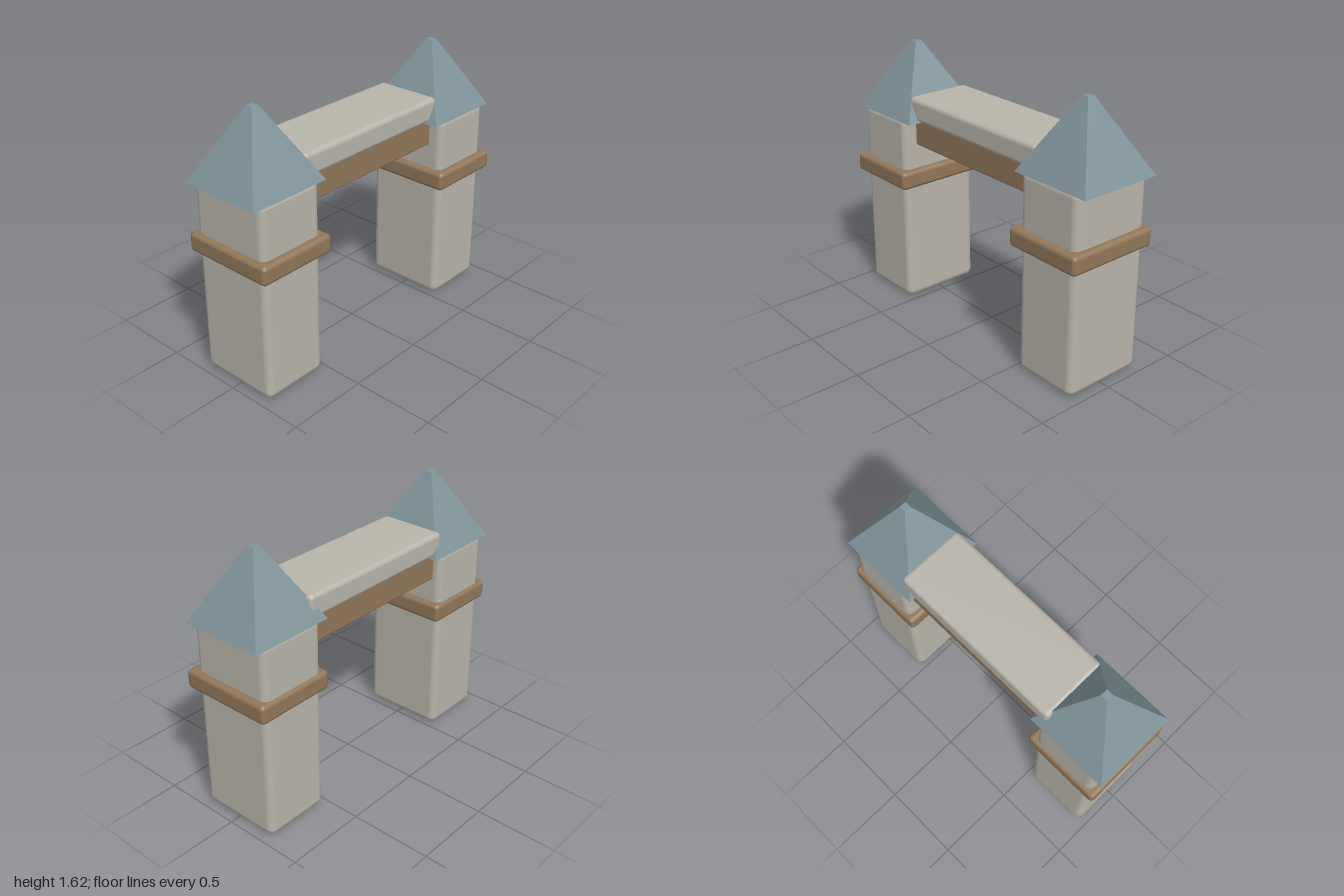
import * as THREE from 'three';
import { RoundedBoxGeometry } from 'three/addons/geometries/RoundedBoxGeometry.js';

const stone = new THREE.MeshStandardMaterial({ color: 0xb8b4aa });
const wood = new THREE.MeshStandardMaterial({ color: 0x92775a });
const slate = new THREE.MeshStandardMaterial({ color: 0x80949b, flatShading: true });

// Softly bevelled block, given its size and centre
function block(name, [w, h, d], [x, y, z], bevel, material) {
  const mesh = new THREE.Mesh(new RoundedBoxGeometry(w, h, d, 2, bevel), material);
  mesh.name = name;
  mesh.position.set(x, y, z);
  return mesh;
}

// Square pyramid with a small flat tip
function pyramidRoof(halfBase, halfTip, height) {
  const geometry = new THREE.CylinderGeometry(halfTip * Math.SQRT2, halfBase * Math.SQRT2, height, 4);
  geometry.rotateY(Math.PI / 4);
  const mesh = new THREE.Mesh(geometry, slate);
  mesh.name = 'roof';
  return mesh;
}

function createTower(name, x) {
  const tower = new THREE.Group();
  tower.name = name;
  tower.position.x = x;

  // Stone pillar, its top edge just showing through the eaves
  tower.add(block('pillar', [0.425, 1.22, 0.525], [0, 0.61, -0.012], 0.045, stone));

  // Wooden collar
  tower.add(block('collar', [0.505, 0.115, 0.59], [0, 0.833, 0], 0.025, wood));

  // Roof
  const roof = pyramidRoof(0.2625, 0.022, 0.43);
  roof.position.set(0, 1.41, -0.015);
  tower.add(roof);
  return tower;
}

export function createModel() {
  const gate = new THREE.Group();
  gate.name = 'gate';

  // Twin towers
  gate.add(createTower('rightTower', -0.7375));
  gate.add(createTower('leftTower', 0.7375));

  // Lintel: wooden beam under a stone cap
  gate.add(block('beam', [1.1, 0.18, 0.38], [0, 1.13, -0.03], 0.012, wood));
  gate.add(block('capstone', [1.13, 0.145, 0.425], [0, 1.272, -0.032], 0.03, stone));

  return gate;
}
